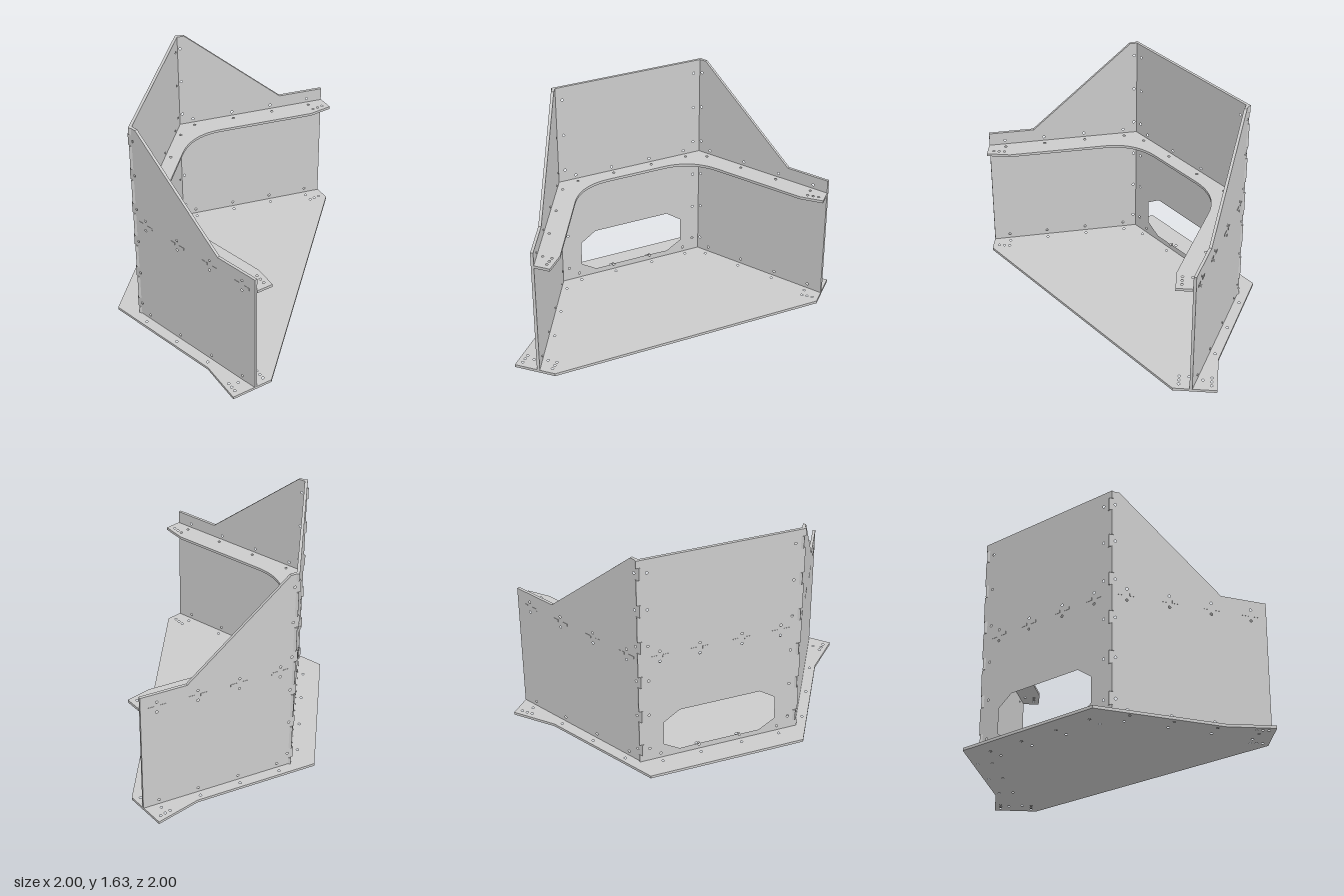
import * as THREE from 'three';

const T = 0.02;                       // sheet thickness
const TOP = 1.635;
const SHELF_Y = 0.862;
const BOLT_Y = [0.12, 0.405, 0.69, 0.97, 1.255, 1.535];
const C = Math.cos(Math.PI / 12), S = Math.sin(Math.PI / 12), D = Math.SQRT1_2;
const CORNER = [-0.07, -0.867];       // inner corner between back and left wing, as [x, z]
const WING_LEN = 1.105;
const BACK_LEN = (0.867 - 0.07) / D;
const WING_BOLTS = [0.1, 0.4, 0.7, 0.99];
const BACK_BOLTS = [0.13, 0.41, 0.71, 0.99].map(s => s * BACK_LEN / 1.12);
const mat = new THREE.MeshStandardMaterial({ color: 0xcccccc });

const swap = ([x, z]) => [z, x];      // the model is symmetric about the line z = x

function addHoles(shape, points, r = 0.009) {
  for (const [x, y] of points) {
    const hole = new THREE.Path();
    hole.absarc(x, y, r, 0, Math.PI * 2, true);
    shape.holes.push(hole);
  }
}

const polygon = pts => new THREE.Shape(pts.map(p => new THREE.Vector2(p[0], p[1])));

function extrude(shape, z0 = 0) {
  const geo = new THREE.ExtrudeGeometry(shape, { depth: T, bevelEnabled: false, curveSegments: 12 });
  return geo.translate(0, 0, z0);
}

// Finger-joint edge running upwards: offset a between bolts, b at the bolts
function fingerEdge(a, b) {
  const pts = [[a, T]];
  for (const y of BOLT_Y) pts.push([a, y - 0.045], [b, y - 0.045], [b, y + 0.045], [a, y + 0.045]);
  pts.push([a, TOP]);
  return pts;
}

// Bolt holes above and below the shelf and just above the base
const rowHoles = list => list.flatMap(s => [[s, 0.055], [s, 0.83], [s, 0.912]]);

// Upright panel with local x along dir, plus the shelf tabs showing through it
function panel(name, shape, origin, dir, bolts, outSign) {
  const group = new THREE.Group();
  group.name = name;
  const sheet = new THREE.Mesh(extrude(shape, outSign < 0 ? -T : 0), mat);
  sheet.name = name + 'Sheet';
  group.add(sheet);
  for (const s of bolts) for (const side of [-1, 1]) {
    const tab = new THREE.Mesh(new THREE.BoxGeometry(0.045, T, T), mat);
    tab.name = 'shelfTab';
    tab.position.set(s + side * 0.042, SHELF_Y + T / 2, outSign * (T / 2 + 0.002));
    group.add(tab);
  }
  group.position.set(origin[0], 0, origin[1]);
  group.rotation.y = Math.atan2(-dir[1], dir[0]);
  return group;
}

function wingShape() {
  const shape = polygon([
    ...fingerEdge(0, -0.023), [0.05, TOP], [0.775, 0.98], [WING_LEN, 0.98], [WING_LEN, T],
  ]);
  addHoles(shape, [...rowHoles(WING_BOLTS), ...BOLT_Y.map(y => [0.02, y])]);
  return shape;
}

function backShape() {
  const left = fingerEdge(-0.023, 0);
  const right = left.map(([x, y]) => [BACK_LEN - x, y]).reverse();
  const shape = polygon([...left, ...right]);
  // Chamfered window
  const m = BACK_LEN / 2, w = 0.41, c = 0.115;
  shape.holes.push(new THREE.Path([
    [m - w, 0.13], [m - w, 0.315], [m - w + c, 0.395], [m + w - c, 0.395],
    [m + w, 0.315], [m + w, 0.13], [m + w - c, 0.06], [m - w + c, 0.06],
  ].map(p => new THREE.Vector2(p[0], p[1]))));
  addHoles(shape, [
    ...rowHoles(BACK_BOLTS),
    ...BOLT_Y.flatMap(y => [[0.05, y], [BACK_LEN - 0.05, y]]),
  ]);
  return shape;
}

// Flat bolt positions along the walls at a distance off the inner face (negative = outside)
function plateHoles(off) {
  const wing = WING_BOLTS.map(s => [CORNER[0] + C * s - S * off, CORNER[1] + S * s + C * off]);
  const back = BACK_BOLTS.map(s => [CORNER[0] - D * s + D * off, CORNER[1] + D * s + D * off]);
  return [...wing, ...wing.map(swap), ...back];
}

// Rows of three holes at the feet of the wings
function endHoles(z) {
  const row = [0.875, 0.915, 0.955].map(x => [x, z]);
  return [...row, ...row.map(swap)];
}

const flip = pts => pts.map(([x, z]) => [x, -z]);

function plate(name, shape, y) {
  const mesh = new THREE.Mesh(extrude(shape).rotateX(-Math.PI / 2), mat);
  mesh.position.y = y;
  mesh.name = name;
  return mesh;
}

function basePlate() {
  const half = [[-0.2, -1], [0.67, -0.77], [1, -0.77], [1, -0.465]];
  const shape = polygon(flip([...half, ...half.map(swap).reverse()]));
  addHoles(shape, flip([...plateHoles(0.04), ...plateHoles(-0.06), ...endHoles(-0.73), ...endHoles(-0.505)]));
  return plate('basePlate', shape, 0);
}

function shelfPlate() {
  const k = [-0.073, -0.707], r = 0.23;           // inner edge corner and its rounding
  const a = [k[0] + C * r, k[1] + S * r], b = [k[0] - D * r, k[1] + D * r];
  const end = [1, CORNER[1] + (1 - CORNER[0]) * S / C];
  const shape = new THREE.Shape();
  const line = ([x, z]) => shape.lineTo(x, -z);
  const curve = ([cx, cz], [x, z]) => shape.quadraticCurveTo(cx, -cz, x, -z);
  shape.moveTo(CORNER[0], -CORNER[1]);
  [end, [1, -0.465], [0.83, -0.465], a].forEach(line);
  curve(k, b);
  line(swap(b));
  curve(swap(k), swap(a));
  [[-0.465, 0.83], [-0.465, 1], swap(end), swap(CORNER)].forEach(line);
  addHoles(shape, flip([...plateHoles(0.04), ...endHoles(-0.505)]));
  return plate('shelf', shape, SHELF_Y);
}

export function createModel() {
  const model = new THREE.Group();
  model.name = 'foldedPanelStand';
  model.add(
    basePlate(),
    shelfPlate(),
    panel('backPanel', backShape(), swap(CORNER), [D, -D], BACK_BOLTS, -1),
    panel('leftWing', wingShape(), CORNER, [C, S], WING_BOLTS, -1),
    panel('rightWing', wingShape(), swap(CORNER), [S, C], WING_BOLTS, 1),
  );
  return model;
}
